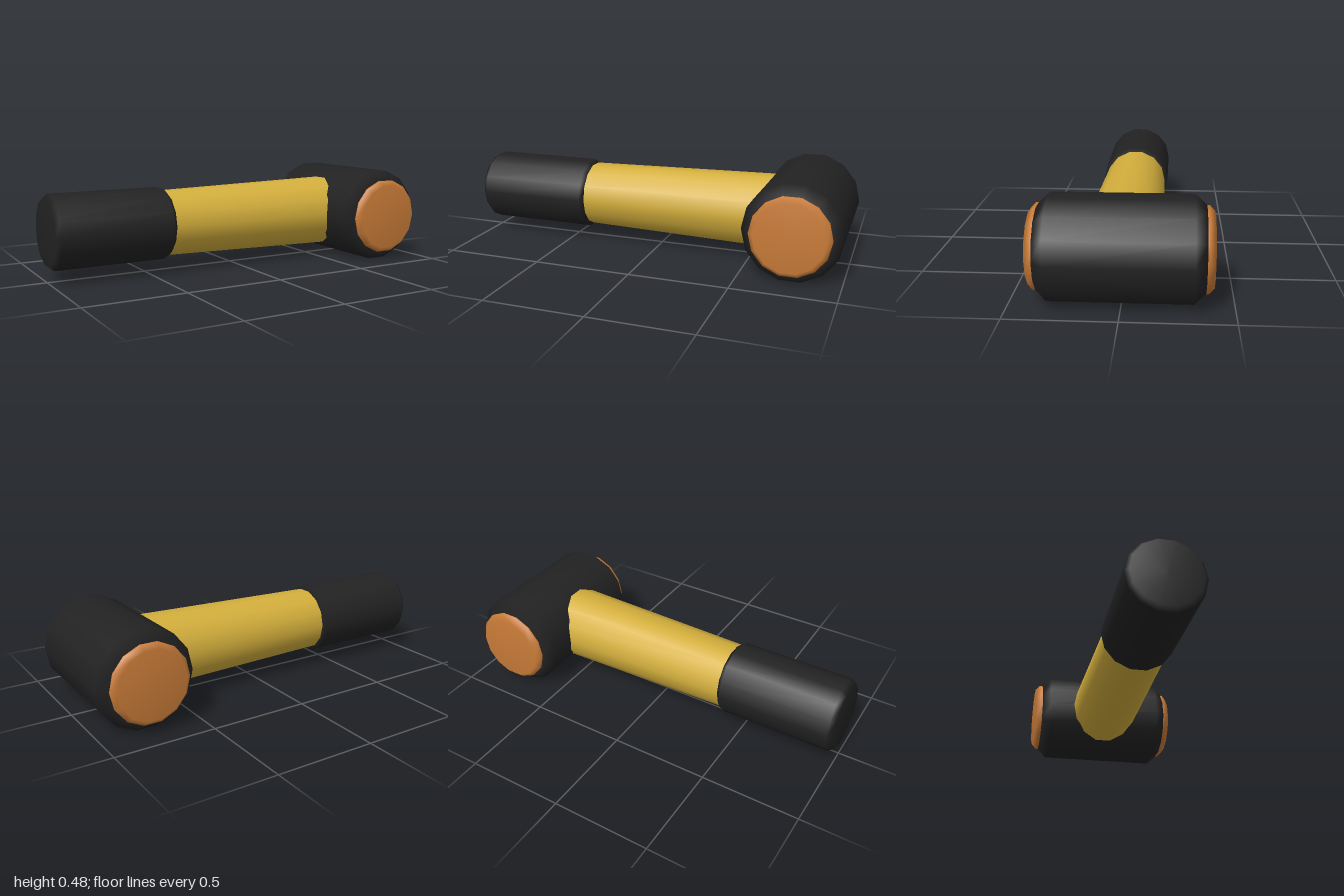
import * as THREE from 'three';

const SIDES = 14;
const AXIS_Y = 0.239; // height of the handle and head axes
const HEAD_X = 0.755;

const blackRubber = new THREE.MeshStandardMaterial({ color: 0x222222 });
const yellowShaft = new THREE.MeshStandardMaterial({ color: 0xd4af3c });
const orangeFace = new THREE.MeshStandardMaterial({ color: 0xc87b38 });

// Turned part from [radius, position along axis] pairs, vertices on the +-z sides
function turned(profile) {
  return new THREE.LatheGeometry(profile.map(([r, t]) => new THREE.Vector2(r, t)), SIDES);
}

function part(name, geometry, material) {
  const mesh = new THREE.Mesh(geometry, material);
  mesh.name = name;
  return mesh;
}

export function createModel() {
  const mallet = new THREE.Group();
  mallet.name = 'mallet';

  // Handle, turned along x
  const handle = new THREE.Group();
  handle.name = 'handle';
  handle.position.y = AXIS_Y + 0.003;
  const grip = turned([
    [0, -1], [0.165, -1], [0.185, -0.975], [0.185, -0.41], [0.165, -0.387], [0, -0.387],
  ]).rotateZ(-Math.PI / 2);
  const shaft = turned([[0.167, -0.4], [0.19, 0.64]]).rotateZ(-Math.PI / 2);
  handle.add(part('grip', grip, blackRubber), part('shaft', shaft, yellowShaft));

  // Head, turned along z with vertices on the +-x sides
  const head = new THREE.Group();
  head.name = 'head';
  head.position.set(HEAD_X, AXIS_Y, 0);
  const barrel = turned([
    [0, -0.37], [0.197, -0.37], [0.245, -0.32], [0.245, 0.32], [0.197, 0.37], [0, 0.37],
  ]).rotateY(Math.PI / 2).rotateX(Math.PI / 2);
  head.add(part('headBarrel', barrel, blackRubber));

  // Striking faces at both ends of the head
  const face = turned([[0.197, 0.365], [0.197, 0.382], [0.172, 0.406], [0, 0.406]])
    .rotateY(Math.PI / 2).rotateX(Math.PI / 2);
  const front = part('frontStrikingFace', face, orangeFace);
  const back = part('backStrikingFace', face, orangeFace);
  back.rotation.y = Math.PI;
  head.add(front, back);

  mallet.add(handle, head);
  return mallet;
}
